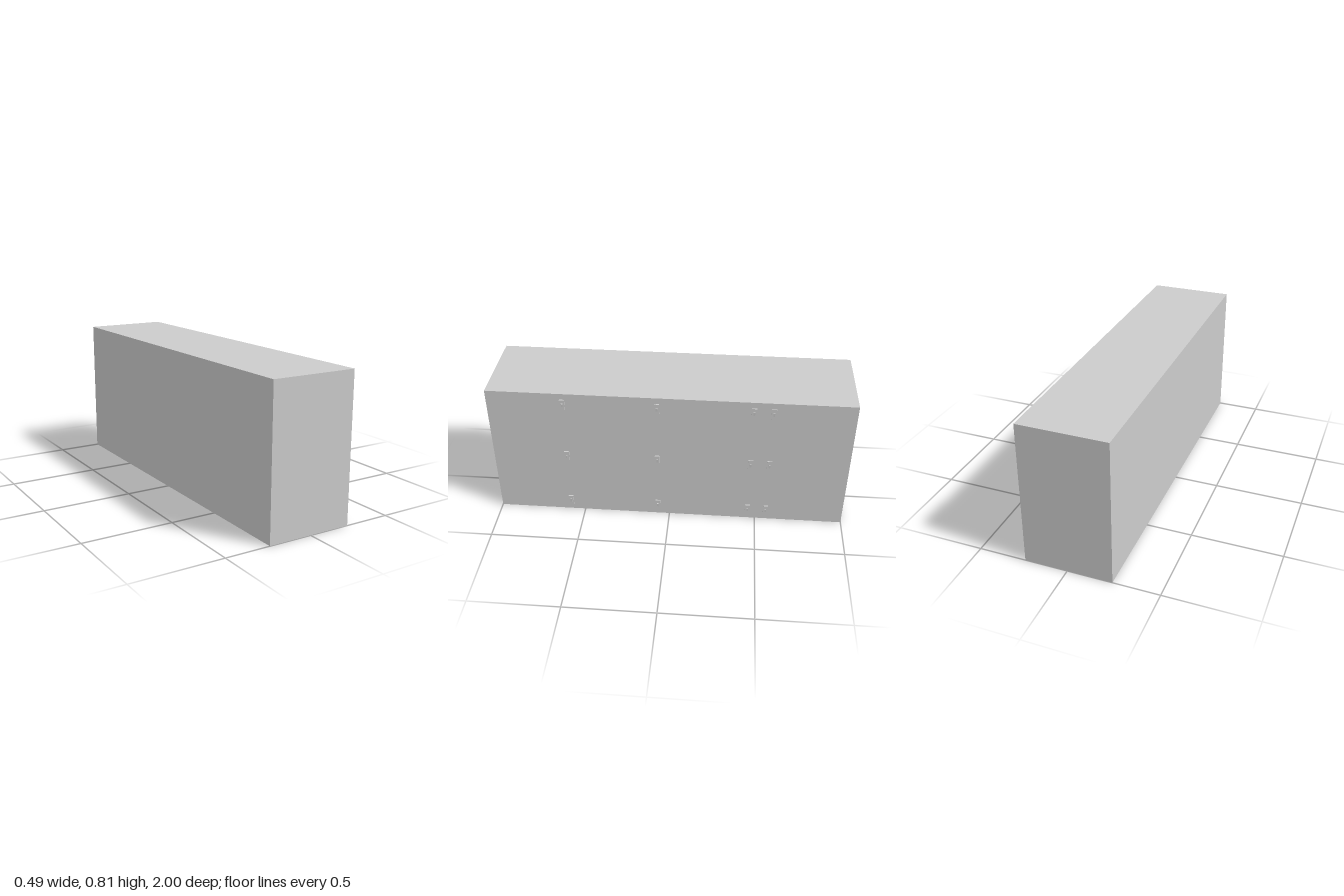
import * as THREE from 'three';

const material = new THREE.MeshStandardMaterial({ color: 0xcccccc, flatShading: true });

function box(name, w, h, d, x, y, z) {
  const mesh = new THREE.Mesh(new THREE.BoxGeometry(w, h, d), material);
  mesh.name = name;
  mesh.position.set(x, y, z);
  return mesh;
}

// Wall plate with a small wedge-shaped toggle, mounted on the +x face
function createPlate(x, y, z) {
  const group = new THREE.Group();
  group.name = 'wallPlate';
  group.add(box('plate', 0.007, 0.063, 0.028, 0.0035, 0, 0));

  const profile = new THREE.Shape();
  profile.moveTo(0, -0.011);
  profile.lineTo(0.002, -0.011);
  profile.lineTo(0.0035, 0.009);
  profile.lineTo(0, 0.011);
  const geometry = new THREE.ExtrudeGeometry(profile, { depth: 0.009, bevelEnabled: false });
  geometry.translate(0.007, 0, -0.0045);
  const toggle = new THREE.Mesh(geometry, material);
  toggle.name = 'toggle';
  group.add(toggle);

  group.position.set(x, y, z);
  return group;
}

export function createModel() {
  const model = new THREE.Group();
  model.name = 'wallBlock';

  // Main block
  const left = 0.237, right = -0.247, height = 0.81;
  model.add(box('block', left - right, height, 2, (left + right) / 2, height / 2, 0));

  // Plates in three rows and four columns
  for (const z of [-0.56, -0.455, 0.067, 0.58]) {
    for (const y of [0.067, 0.394, 0.743]) model.add(createPlate(left, y, z));
  }
  return model;
}
